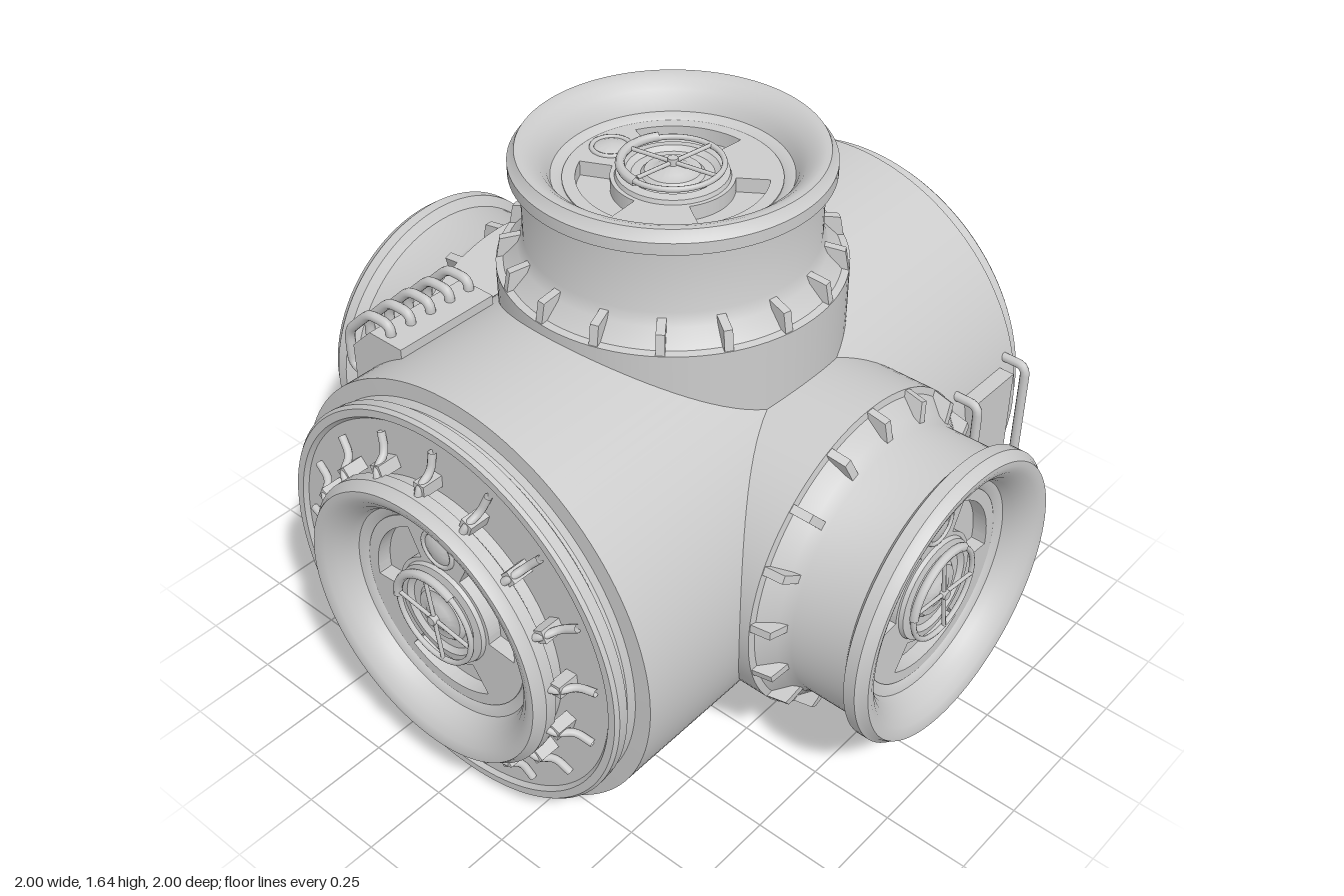
import * as THREE from 'three';
import { toCreasedNormals } from 'three/addons/utils/BufferGeometryUtils.js';

const CENTER_Y = 0.64;
const CLAMPS = 17;
const grey = new THREE.MeshStandardMaterial({ color: 0xcccccc, side: THREE.DoubleSide });

function add(parent, name, geometry, x = 0, y = 0, z = 0) {
  const mesh = new THREE.Mesh(geometry, grey);
  mesh.name = name;
  mesh.position.set(x, y, z);
  parent.add(mesh);
  return mesh;
}

// Surface of revolution about +z, from [radius, z] pairs
function turned(profile, segments = 96) {
  const points = profile.map(([r, z]) => new THREE.Vector2(r, z));
  return toCreasedNormals(new THREE.LatheGeometry(points, segments).rotateX(Math.PI / 2), 0.6);
}

// Round bar through a list of corners, with straight runs
function bar(points, radius) {
  const path = new THREE.CurvePath();
  const p = points.map((a) => new THREE.Vector3(...a));
  let from = p[0];
  for (let i = 1; i < p.length - 1; i++) {
    const a = p[i].clone().lerp(p[i - 1], Math.min(0.45, 0.03 / p[i].distanceTo(p[i - 1])));
    const b = p[i].clone().lerp(p[i + 1], Math.min(0.45, 0.03 / p[i].distanceTo(p[i + 1])));
    path.add(new THREE.LineCurve3(from, a));
    path.add(new THREE.QuadraticBezierCurve3(a, p[i], b));
    from = b;
  }
  path.add(new THREE.LineCurve3(from, p[p.length - 1]));
  return new THREE.TubeGeometry(path, 40, radius, 10);
}

// Flat outline in the radius/z plane, given a thickness and centred on it
function fin(outline, thickness) {
  const shape = new THREE.Shape(outline.map(([r, z]) => new THREE.Vector2(r, z)));
  const g = new THREE.ExtrudeGeometry(shape, { depth: thickness, bevelEnabled: false });
  return g.translate(0, 0, -thickness / 2).rotateX(Math.PI / 2).scale(1, 1, 1);
}

// Repeats a part around z, starting at the top
function around(parent, name, geometry) {
  for (let i = 0; i < CLAMPS; i++) {
    add(parent, name, geometry).rotation.z = Math.PI / 2 + (i * 2 * Math.PI) / CLAMPS;
  }
}

// Round door with three sector windows, a porthole and a locking wheel
function createHatch() {
  const hatch = new THREE.Group();
  hatch.name = 'hatch';
  const disc = new THREE.Shape().absarc(0, 0, 0.29, 0, Math.PI * 2);
  for (const deg of [30, 150, 270]) {
    const mid = THREE.MathUtils.degToRad(deg);
    const hole = new THREE.Path();
    hole.absarc(0, 0, 0.255, mid - 0.6, mid + 0.6, false);
    hole.absarc(0, 0, 0.165, mid + 0.6, mid - 0.6, true);
    hole.closePath();
    disc.holes.push(hole);
  }
  const door = new THREE.ExtrudeGeometry(disc, { depth: 0.045, bevelEnabled: false, curveSegments: 32 });
  add(hatch, 'hatchDoor', toCreasedNormals(door, 0.6), 0, 0, 0.865);
  add(hatch, 'hatchBack', new THREE.CircleGeometry(0.3, 64), 0, 0, 0.868);
  add(hatch, 'hatchHub', turned([
    [0.155, 0.905], [0.15, 0.922], [0.125, 0.926], [0.11, 0.915], [0.085, 0.915],
    [0.075, 0.926], [0.055, 0.926], [0.045, 0.932], [0.025, 0.94], [0, 0.942],
  ], 48));
  add(hatch, 'portholeRim', new THREE.TorusGeometry(0.053, 0.007, 8, 32), 0, 0.218, 0.911);
  add(hatch, 'portholeGlass', turned([[0.05, 0.91], [0.03, 0.918], [0, 0.921]], 32), 0, 0.218, 0);

  // Locking wheel
  add(hatch, 'wheelRing', new THREE.TorusGeometry(0.135, 0.008, 8, 48), 0, 0, 0.945);
  add(hatch, 'wheelGrip', new THREE.TorusGeometry(0.138, 0.013, 8, 32, 2.1), 0, 0, 0.947).rotation.z = 1;
  for (const angle of [-0.14, 1.72]) {
    const spoke = new THREE.CylinderGeometry(0.006, 0.006, 0.27, 8).rotateZ(Math.PI / 2);
    add(hatch, 'wheelSpoke', spoke, 0, 0, 0.947).rotation.z = angle;
  }
  add(hatch, 'wheelShaft', new THREE.CylinderGeometry(0.014, 0.014, 0.03, 16).rotateX(Math.PI / 2), 0, 0, 0.945);
  return hatch;
}

// Docking port along local +z, its mouth one unit from the centre
function createPort(name, onBodyEnd) {
  const port = new THREE.Group();
  port.name = name;
  add(port, 'portCollar', turned([
    [0.475, 0.3], [0.475, 0.668], [0.455, 0.672], [0.415, 0.715], [0.4, 0.75], [0.4, 0.92],
    [0.43, 0.938], [0.43, 0.972], [0.42, 0.982], [0.41, 1], [0.395, 1], [0.375, 0.992],
    [0.35, 0.972], [0.33, 0.945], [0.32, 0.92], [0.3, 0.915], [0.288, 0.905], [0.285, 0.865],
  ]));
  port.add(createHatch());
  if (onBodyEnd) {
    // Clamps on the end face of the body
    around(port, 'clampBlock', new THREE.BoxGeometry(0.035, 0.036, 0.065).translate(0.442, 0, 0.917));
    around(port, 'clampRod', bar([[0.42, 0, 0.955], [0.45, 0, 0.945], [0.475, 0, 0.905], [0.53, 0, 0.895]], 0.011));
  } else {
    around(port, 'collarFin', fin([[0.39, 0.66], [0.474, 0.66], [0.462, 0.725], [0.44, 0.73], [0.39, 0.74]], 0.024));
  }
  return port;
}

// Sloped step plate with five bent rungs, on the upper right shoulder
function createLadder() {
  const ladder = new THREE.Group();
  ladder.name = 'ladder';
  const plate = new THREE.Shape([
    [-0.31, 1.0], [-0.31, 1.225], [-0.43, 1.225], [-0.505, 1.15], [-0.505, 1.0],
  ].map(([x, y]) => new THREE.Vector2(x, y)));
  add(ladder, 'ladderPlate', new THREE.ExtrudeGeometry(plate, { depth: 0.33, bevelEnabled: false }), 0, 0, 0.38);
  for (let i = 0; i < 5; i++) {
    const rung = bar([[-0.38, 1.2, 0], [-0.38, 1.255, 0], [-0.46, 1.255, 0], [-0.555, 1.16, 0], [-0.555, 1.045, 0], [-0.49, 1.045, 0]], 0.014);
    add(ladder, 'ladderRung', rung, 0, 0, 0.4 + i * 0.07);
  }
  return ladder;
}

// Flat cover between two upright handrails, on the left side
function createSidePanel() {
  const panel = new THREE.Group();
  panel.name = 'sidePanel';
  add(panel, 'panelCover', new THREE.BoxGeometry(0.1, 0.32, 0.19), 0.615, 0.64, -0.655);
  for (const z of [-0.53, -0.78]) {
    add(panel, 'handrail', bar([[0.6, 0.46, z], [0.685, 0.46, z], [0.685, 0.82, z], [0.6, 0.82, z]], 0.014));
  }
  return panel;
}

export function createModel() {
  const model = new THREE.Group();
  model.name = 'stationNode';

  // Hull, built as two mirrored halves with stepped end rings
  const half = turned([
    [0.638, 0], [0.638, 0.82], [0.59, 0.822], [0.575, 0.835], [0.575, 0.845], [0.598, 0.86],
    [0.6, 0.89], [0.592, 0.9], [0.57, 0.9], [0.56, 0.888], [0.39, 0.888],
  ], 128);
  for (const turn of [0, Math.PI]) add(model, 'hullHalf', half, 0, CENTER_Y, 0).rotation.y = turn;

  // Ports on the four sides
  const sides = [['frontPort', 0], ['leftPort', 1], ['backPort', 2], ['rightPort', 3]];
  for (const [name, quarter] of sides) {
    const port = createPort(name, quarter % 2 === 0);
    port.position.y = CENTER_Y;
    port.rotation.y = (quarter * Math.PI) / 2;
    model.add(port);
  }

  // Top port, with its porthole towards the right
  const top = createPort('topPort', false);
  top.position.y = CENTER_Y;
  top.quaternion.setFromRotationMatrix(new THREE.Matrix4().makeBasis(
    new THREE.Vector3(0, 0, -1), new THREE.Vector3(-1, 0, 0), new THREE.Vector3(0, 1, 0)));
  model.add(top);

  model.add(createLadder(), createSidePanel());
  return model;
}
